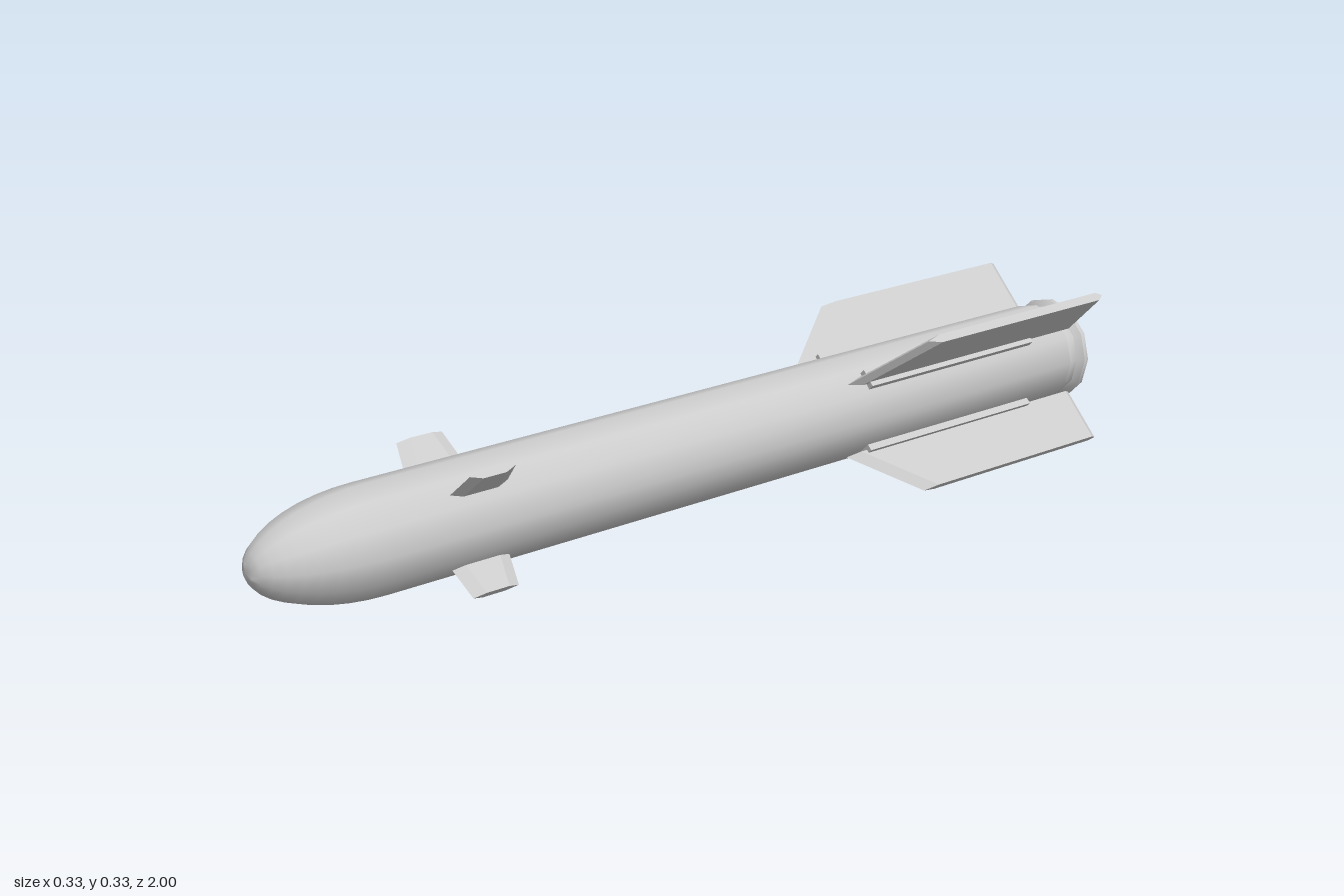
import * as THREE from 'three';
import { toCreasedNormals } from 'three/addons/utils/BufferGeometryUtils.js';

const material = new THREE.MeshStandardMaterial({ color: 0xcccccc });
const AXIS_Y = 0.165;
const BODY_R = 0.105;

// Blade running outward along +x with a bevelled (hexagonal) section.
// root / tip: { r, front, back } ; t = half thickness
function bladeGeometry(root, tip, t, frontBevel, backBevel) {
  const section = ({ r, front, back }) => [
    [r, 0, front], [r, -t, front - frontBevel], [r, -t, back + backBevel],
    [r, 0, back], [r, t, back + backBevel], [r, t, front - frontBevel],
  ];
  const a = section(root), b = section(tip), pos = [];
  const tri = (...corners) => corners.forEach((c) => pos.push(...c));
  for (let i = 0; i < 6; i++) {
    const j = (i + 1) % 6;
    tri(a[i], a[j], b[j]);
    tri(a[i], b[j], b[i]);
    if (i > 0 && i < 5) {
      tri(b[0], b[i], b[j]);
      tri(a[0], a[j], a[i]);
    }
  }
  const geometry = new THREE.BufferGeometry();
  geometry.setAttribute('position', new THREE.Float32BufferAttribute(pos, 3));
  geometry.computeVertexNormals();
  return geometry;
}

// Hull: hollow nozzle, rear flange, groove, tube and elliptical nose in one profile
function bodyGeometry() {
  const profile = [
    [0, -0.8], [0.078, -0.8], [0.086, -1], [0.109, -1], [0.109, -0.99],
    [0.097, -0.978], [0.097, -0.955], [BODY_R, -0.95], [BODY_R, 0.75],
  ].map(([r, z]) => new THREE.Vector2(r, z));
  const steps = 10;
  for (let i = 1; i <= steps; i++) {
    const a = (i / steps) * Math.PI / 2;
    profile.push(new THREE.Vector2(i === steps ? 0 : BODY_R * Math.cos(a), 0.75 + 0.25 * Math.sin(a)));
  }
  const lathe = new THREE.LatheGeometry(profile, 12);
  lathe.rotateX(Math.PI / 2);
  return toCreasedNormals(lathe, 0.7);
}

export function createModel() {
  const model = new THREE.Group();
  model.name = 'missile';
  const add = (parent, name, geometry) => {
    const mesh = new THREE.Mesh(geometry, material);
    mesh.name = name;
    parent.add(mesh);
    return mesh;
  };

  add(model, 'body', bodyGeometry()).position.y = AXIS_Y;

  const tailFin = bladeGeometry(
    { r: 0.108, front: -0.33, back: -0.978 },
    { r: 0.223, front: -0.47, back: -0.978 }, 0.009, 0.035, 0.015);
  const noseFin = bladeGeometry(
    { r: 0.095, front: 0.625, back: 0.497 },
    { r: 0.163, front: 0.61, back: 0.51 }, 0.009, 0.025, 0.025);
  const rail = new THREE.BoxGeometry(0.02, 0.038, 0.46);
  rail.translate(0.105, 0, -0.61);

  // Four fin sets in an X arrangement
  for (let k = 0; k < 4; k++) {
    const set = new THREE.Group();
    set.name = `finSet${k + 1}`;
    set.position.y = AXIS_Y;
    set.rotation.z = Math.PI / 4 + k * Math.PI / 2;
    add(set, 'tailFin', tailFin);
    add(set, 'finRail', rail);
    add(set, 'noseFin', noseFin);
    model.add(set);
  }
  return model;
}
